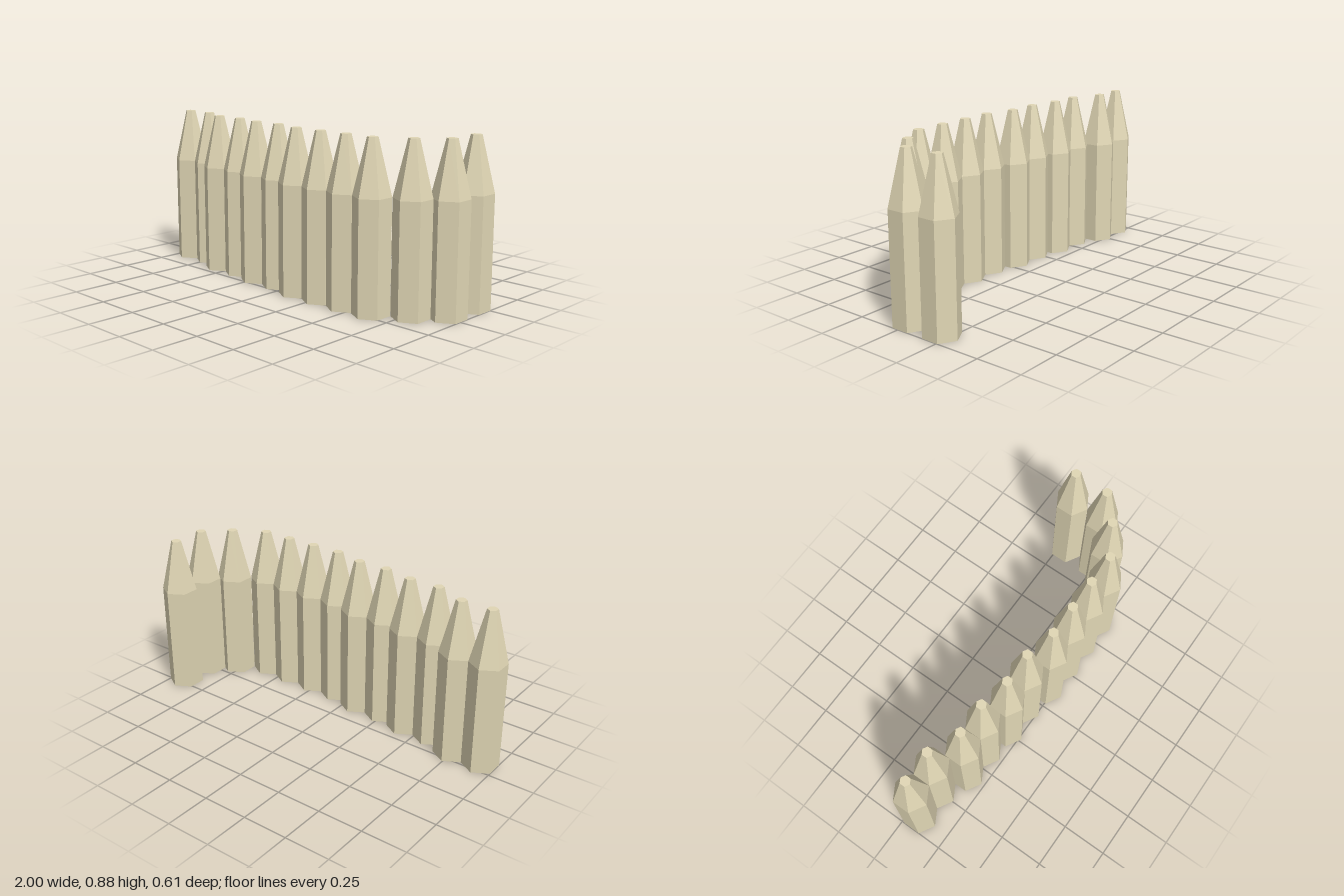
import * as THREE from 'three';

// Palisade of sharpened six-sided stakes along a bent line
const RADIUS = 0.0975;
const TIP_RADIUS = 0.028;
const SHOULDER = 0.59;
const HEIGHT = 0.878;

// Ground position [x, z] of each stake, from the right end to the left
const PLACES = [
  [-0.915, 0.065], [-0.745, 0.065],
  [-0.575, 0.135], [-0.405, 0.135],
  [-0.236, 0.168], [-0.066, 0.168],
  [0.104, 0.207], [0.274, 0.207], [0.444, 0.207], [0.614, 0.207],
  [0.784, 0.109], [0.915, -0.012], [0.915, -0.208],
];

export function createModel() {
  const group = new THREE.Group();
  group.name = 'palisade';

  const wood = new THREE.MeshStandardMaterial({ color: 0xe0d6b4, flatShading: true });

  // Closed profile: base, straight shaft, tapered point with a blunt top
  const profile = [
    [0, 0], [RADIUS, 0], [RADIUS, SHOULDER], [TIP_RADIUS, HEIGHT], [0, HEIGHT],
  ].map(([r, y]) => new THREE.Vector2(r, y));
  const stakeGeometry = new THREE.LatheGeometry(profile, 6);

  PLACES.forEach(([x, z], i) => {
    const stake = new THREE.Mesh(stakeGeometry, wood);
    stake.name = `stake${i + 1}`;
    stake.position.set(x, 0, z);
    group.add(stake);
  });

  return group;
}
